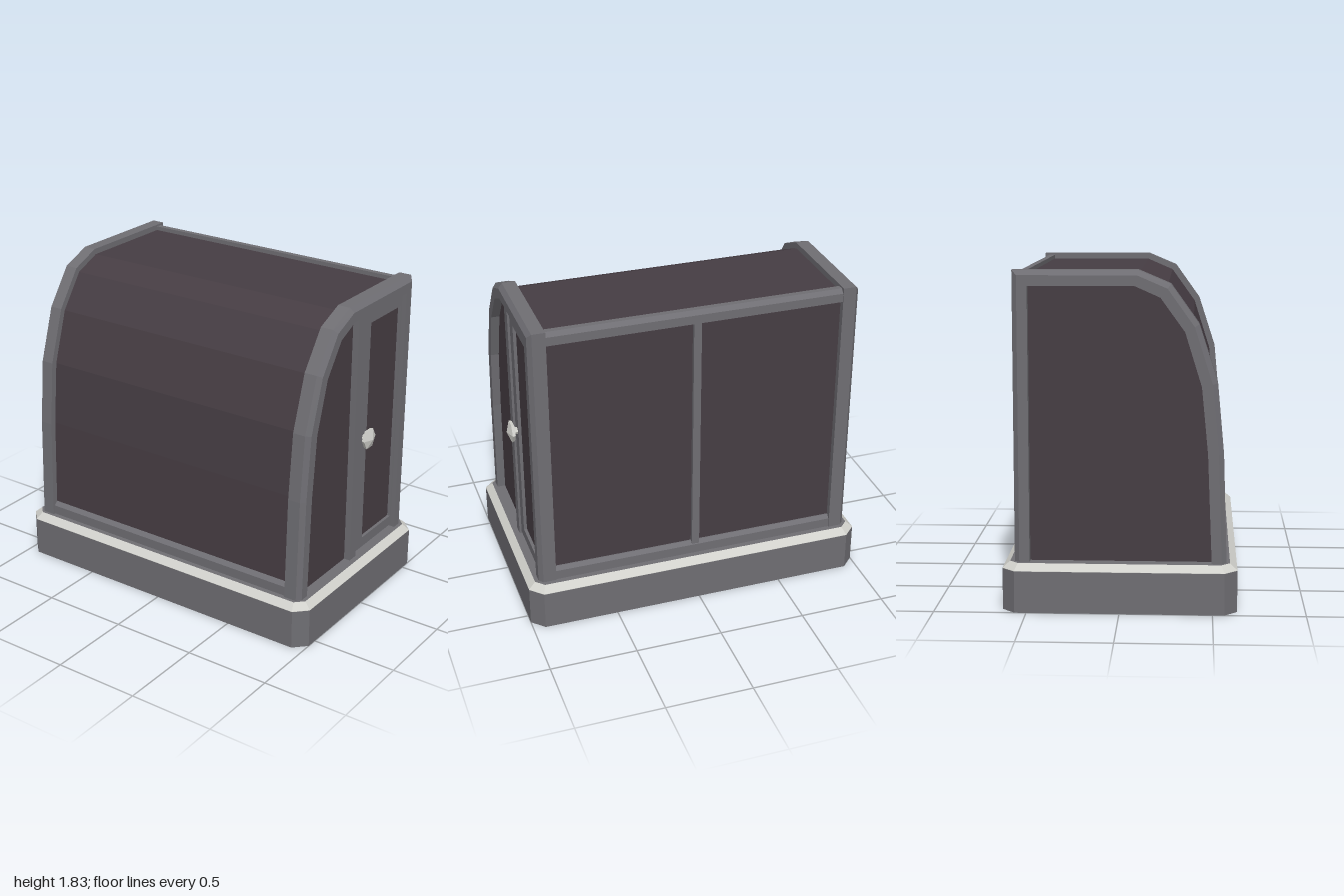
import * as THREE from 'three';

const frameMat = new THREE.MeshStandardMaterial({ color: 0x6f6e73 });
frameMat.name = 'grey frame';
const glassMat = new THREE.MeshStandardMaterial({ color: 0x463d43 });
glassMat.name = 'dark tinted panel';
const trimMat = new THREE.MeshStandardMaterial({ color: 0xd0d0cb });
trimMat.name = 'pale trim';

const FLOOR = 0.265, RIM = 0.08;
// Side profile as [z, y], outer and inner edges of the arch
const OUTER = [[0.575, 0.25], [0.555, 0.86], [0.52, 1.24], [0.42, 1.55], [0.27, 1.76], [0.1, 1.832], [-0.567, 1.832], [-0.567, 0.25]];
const INNER = [[0.495, 0.25], [0.47, 0.86], [0.435, 1.22], [0.345, 1.51], [0.215, 1.69], [0.08, 1.75], [-0.485, 1.75], [-0.485, 0.25]];

function profile(inset) {
  const t = inset / RIM;
  return OUTER.map(([z, y], i) => [z + (INNER[i][0] - z) * t, y + (INNER[i][1] - y) * t]);
}

function mesh(name, geometry, material, parent) {
  const m = new THREE.Mesh(geometry, material);
  m.name = name;
  parent.add(m);
  return m;
}

// Box from minimum and maximum corners
function block(name, x0, x1, y0, y1, z0, z1, material, parent) {
  const m = mesh(name, new THREE.BoxGeometry(x1 - x0, y1 - y0, z1 - z0), material, parent);
  m.position.set((x0 + x1) / 2, (y0 + y1) / 2, (z0 + z1) / 2);
  return m;
}

function polygon(points) {
  return new THREE.Shape(points.map(([a, b]) => new THREE.Vector2(a, b)));
}

// Extrude a [z, y] outline across the width, centred on x = 0
function acrossWidth(points, halfWidth) {
  const g = new THREE.ExtrudeGeometry(polygon(points), { depth: halfWidth * 2, bevelEnabled: false });
  g.translate(0, 0, -halfWidth);
  return g.rotateY(-Math.PI / 2);
}

function octagon(hx, hz, c) {
  return polygon([
    [hx, -hz + c], [hx, hz - c], [hx - c, hz], [-hx + c, hz],
    [-hx, hz - c], [-hx, -hz + c], [-hx + c, -hz], [hx - c, -hz],
  ]);
}

// Bar section swept along the arch, with a chamfer on the outer edge
function archGeometry(side) {
  const section = [[0.84, 0], [0.915, 0], [0.938, 0.026], [0.938, RIM], [0.84, RIM]];
  const rails = section.map(([x, inset]) => profile(inset).map(([z, y]) => [x * side, y, z]));
  const pos = [];
  for (let s = 0; s < rails.length; s++) {
    const a = rails[s], b = rails[(s + 1) % rails.length];
    for (let i = 0; i < a.length - 1; i++) {
      const tris = [[a[i], b[i], b[i + 1]], [a[i], b[i + 1], a[i + 1]]];
      for (const t of tris) pos.push(...(side > 0 ? t : t.reverse()).flat());
    }
  }
  const g = new THREE.BufferGeometry();
  g.setAttribute('position', new THREE.Float32BufferAttribute(pos, 3));
  g.computeVertexNormals();
  return g;
}

function buildBase(parent) {
  const slab = new THREE.ExtrudeGeometry(octagon(1, 0.633, 0.07), { depth: 0.228, bevelEnabled: false });
  mesh('baseSlab', slab.rotateX(-Math.PI / 2), frameMat, parent);
  // Bevelled lip: grey floor, pale sloping rim
  const lip = new THREE.ExtrudeGeometry(octagon(0.96, 0.593, 0.047), {
    depth: 0.002, bevelEnabled: true, bevelSegments: 1, bevelSize: 0.04, bevelThickness: 0.035,
  });
  mesh('baseLip', lip.rotateX(-Math.PI / 2), [frameMat, trimMat], parent).position.y = FLOOR - 0.037;
}

function buildDoor(parent) {
  const door = new THREE.Group();
  door.name = 'door';
  const x0 = 0.875, x1 = 0.918, y0 = 0.285, y1 = 1.738, z0 = -0.473, z1 = -0.06;
  block('doorFrontStile', x0, x1, y0, y1, z1 - 0.07, z1, frameMat, door);
  block('doorBackStile', x0, x1, y0, y1, z0, z0 + 0.012, frameMat, door);
  block('doorTopRail', x0, x1, y1 - 0.06, y1, z0 + 0.012, z1 - 0.07, frameMat, door);
  block('doorBottomRail', x0, x1, y0, y0 + 0.06, z0 + 0.012, z1 - 0.07, frameMat, door);
  block('doorPanel', x0, 0.9, y0 + 0.06, y1 - 0.06, z0 + 0.012, z1 - 0.07, glassMat, door);
  // Six-sided knob on a short stem
  const outline = [[0, 0], [0.02, 0], [0.02, 0.03], [0.058, 0.03], [0.063, 0.048], [0, 0.07]];
  const knob = new THREE.LatheGeometry(outline.map(([r, h]) => new THREE.Vector2(r, h)), 6).toNonIndexed();
  knob.computeVertexNormals();
  knob.rotateZ(-Math.PI / 2);
  mesh('doorKnob', knob, trimMat, door).position.set(0.91, 1.003, -0.1);
  parent.add(door);
}

export function createModel() {
  const model = new THREE.Group();
  model.name = 'curvedCabin';

  buildBase(model);

  // Dark curved shell forming the front, roof, back and side panels
  mesh('panelShell', acrossWidth(profile(0.033), 0.89), glassMat, model);

  for (const side of [1, -1]) {
    mesh(side > 0 ? 'leftArch' : 'rightArch', archGeometry(side), frameMat, model);
  }

  // Chamfered cross rails
  const rails = {
    frontBottomRail: [[0.48, 0.25], [0.563, 0.25], [0.563, 0.32], [0.54, 0.342], [0.48, 0.342]],
    backBottomRail: [[-0.48, 0.25], [-0.48, 0.34], [-0.54, 0.34], [-0.56, 0.32], [-0.56, 0.25]],
    backTopRail: [[-0.505, 1.75], [-0.505, 1.822], [-0.538, 1.822], [-0.562, 1.8], [-0.562, 1.75]],
  };
  for (const [name, points] of Object.entries(rails)) {
    mesh(name, acrossWidth(points, 0.845), frameMat, model);
  }
  block('backMullion', -0.022, 0.022, 0.3, 1.77, -0.556, -0.5, frameMat, model);

  // Upright beside the door, and the door itself
  block('doorPost', 0.85, 0.928, 0.25, 1.755, -0.047, 0.018, frameMat, model);
  buildDoor(model);

  return model;
}
